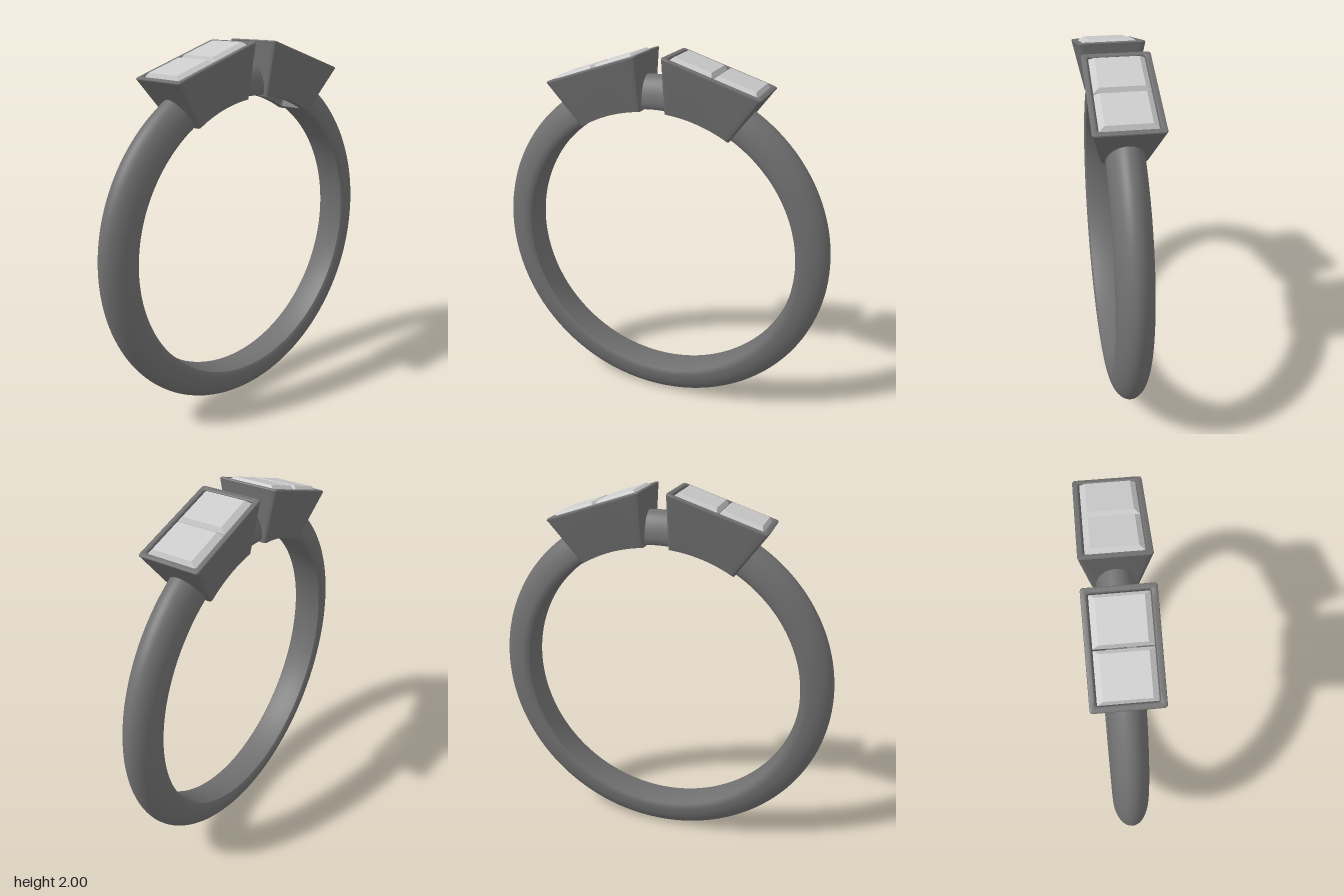
import * as THREE from 'three';
import { toCreasedNormals } from 'three/addons/utils/BufferGeometryUtils.js';

const CENTRE_Y = 0.942, OUTER = 0.942, INNER = 0.77;
const LEAN = THREE.MathUtils.degToRad(18.2);
const metal = new THREE.MeshStandardMaterial({ color: 0x707070 });
const stone = new THREE.MeshStandardMaterial({ color: 0xcccccc });

// Rounded rectangle in the xz plane; height is a number or a function of x.
function rectLoop(hx, hz, r, height, arcSteps = 4, sideSteps = 14) {
  const corners = [[-1, 1], [1, 1], [1, -1], [-1, -1]].map(([sx, sz], k) => {
    const pts = [];
    for (let i = 0; i <= arcSteps; i++) {
      const a = Math.PI - (k + (arcSteps ? i / arcSteps : 0)) * Math.PI / 2;
      pts.push([sx * (hx - r) + r * Math.cos(a), sz * (hz - r) + r * Math.sin(a)]);
    }
    return pts;
  });
  const loop = [];
  corners.forEach((pts, k) => {
    loop.push(...pts);
    const a = pts[pts.length - 1], b = corners[(k + 1) % 4][0];
    for (let i = 1; i < sideSteps; i++) {
      const t = i / sideSteps;
      loop.push([a[0] + (b[0] - a[0]) * t, a[1] + (b[1] - a[1]) * t]);
    }
  });
  return loop.map(([x, z]) => new THREE.Vector3(x, typeof height === 'function' ? height(x) : height, z));
}

// Skin through a list of loops; either joined end to start, or capped.
function loft(loops, joined, crease) {
  const n = loops[0].length, m = loops.length, index = [];
  for (let j = 0; j < (joined ? m : m - 1); j++) {
    const k = (j + 1) % m;
    for (let i = 0; i < n; i++) {
      const q = (i + 1) % n;
      index.push(j * n + i, j * n + q, k * n + q, j * n + i, k * n + q, k * n + i);
    }
  }
  if (!joined) {
    const top = (m - 1) * n;
    for (let i = 1; i < n - 1; i++) index.push(0, i + 1, i, top, top + i, top + i + 1);
  }
  const g = new THREE.BufferGeometry().setFromPoints(loops.flat());
  g.setIndex(index);
  return toCreasedNormals(g, crease);
}

// Part of the band, swept around the ring axis; angles are measured from the top.
function bandArc(name, start, length, segments) {
  const pts = [new THREE.Vector2(INNER, 0), new THREE.Vector2(INNER + 0.002, -0.05), new THREE.Vector2(INNER + 0.008, -0.082)];
  const base = 0.795, steps = 24;
  for (let i = 0; i <= steps; i++) {
    const a = -Math.PI / 2 + Math.PI * i / steps;
    pts.push(new THREE.Vector2(base + (OUTER - base) * Math.cos(a), 0.092 * Math.sin(a)));
  }
  pts.push(new THREE.Vector2(INNER + 0.008, 0.082), new THREE.Vector2(INNER + 0.002, 0.05), new THREE.Vector2(INNER, 0));
  const g = new THREE.LatheGeometry(pts, segments, start, length);
  g.rotateX(-Math.PI / 2);
  const mesh = new THREE.Mesh(toCreasedNormals(g, 0.6), metal);
  mesh.name = name;
  mesh.position.y = CENTRE_Y;
  return mesh;
}

// Open tapered box whose underside follows the inside of the band.
function settingGeometry() {
  const arc = x => Math.sqrt(INNER * INNER - x * x);
  return loft([
    rectLoop(0.178, 0.112, 0.012, arc),
    rectLoop(0.262, 0.164, 0.014, 1.010),
    rectLoop(0.265, 0.165, 0.014, 1.017),
    rectLoop(0.263, 0.163, 0.014, 1.022),
    rectLoop(0.257, 0.157, 0.012, 1.024),
    rectLoop(0.243, 0.143, 0.010, 1.024),
    rectLoop(0.238, 0.138, 0.010, 1.020),
    rectLoop(0.236, 0.135, 0.010, 0.985),
    rectLoop(0.150, 0.068, 0.008, arc),
  ], true, 0.6);
}

// Step-cut rectangular stone with a bevelled crown and a narrowing underside.
function stoneGeometry() {
  return loft([
    [0.055, 0.045, 0.885],
    [0.095, 0.105, 0.965],
    [0.115, 0.132, 1.008],
    [0.115, 0.132, 1.015],
    [0.100, 0.106, 1.036],
  ].map(([hx, hz, y]) => rectLoop(hx, hz, 0, y, 0, 1)), false, 0.05);
}

export function createModel() {
  const ring = new THREE.Group();
  ring.name = 'ring';

  // The band is interrupted inside the two settings
  const half = THREE.MathUtils.degToRad(12);
  const outerEnd = LEAN + half, innerEnd = LEAN - half;
  ring.add(bandArc('band', outerEnd, 2 * (Math.PI - outerEnd), 128));
  ring.add(bandArc('bandBridge', -innerEnd, 2 * innerEnd, 8));

  // Two settings leaning away from the middle, each with two stones
  const settingGeo = settingGeometry(), stoneGeo = stoneGeometry();
  for (const side of [1, -1]) {
    const head = new THREE.Group();
    head.name = side > 0 ? 'leftHead' : 'rightHead';
    head.position.y = CENTRE_Y;
    head.rotation.z = -side * LEAN;
    const setting = new THREE.Mesh(settingGeo, metal);
    setting.name = 'setting';
    head.add(setting);
    for (const s of [1, -1]) {
      const gem = new THREE.Mesh(stoneGeo, stone);
      gem.name = s === side ? 'outerStone' : 'innerStone';
      gem.position.x = s * 0.118;
      head.add(gem);
    }
    ring.add(head);
  }
  return ring;
}
